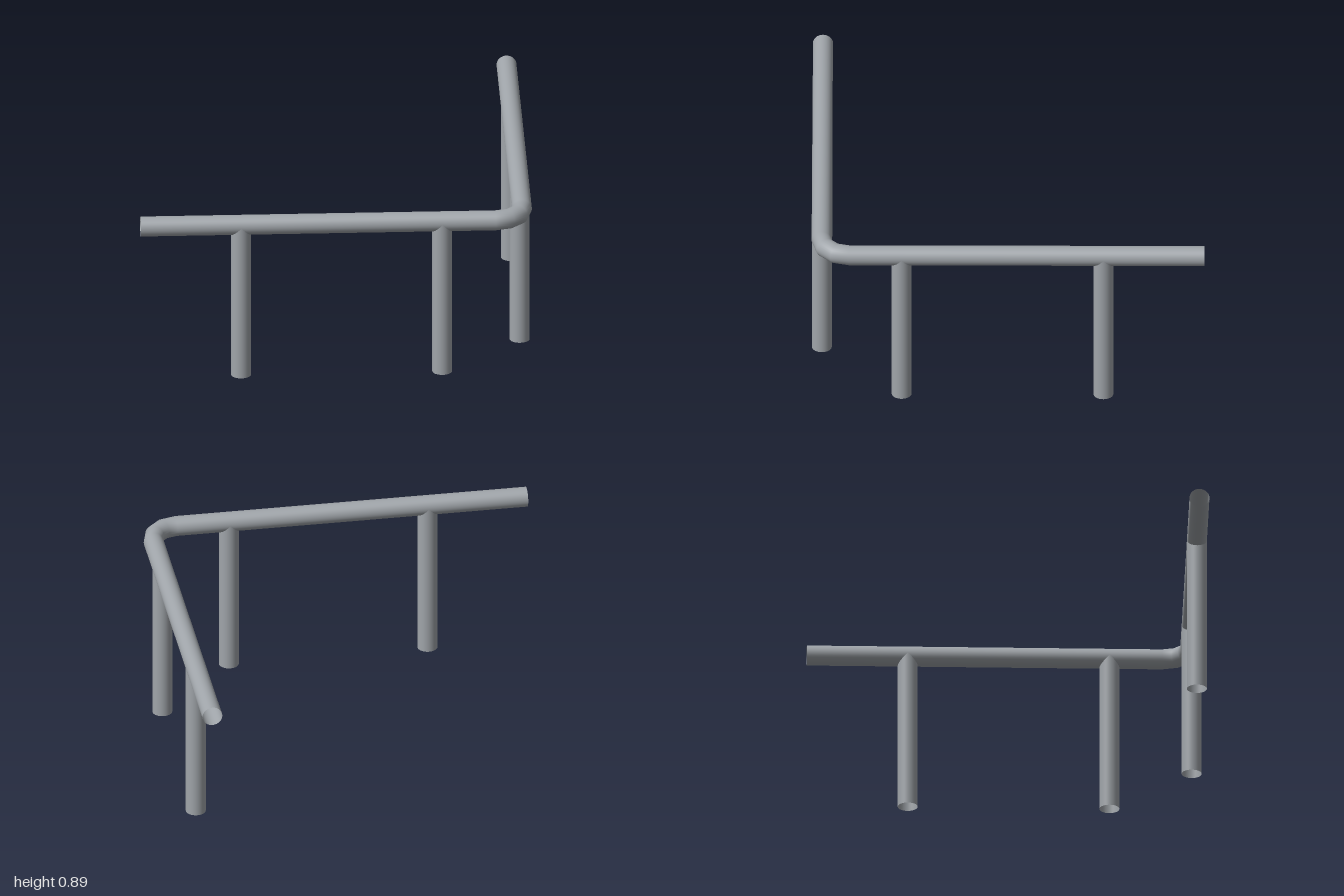
import * as THREE from 'three';

const RADIUS = 0.051;     // pipe radius
const SIDES = 32;
const RAIL_Y = 0.843;     // height of the rail's centre line
const OFFSET = 1 - RADIUS; // distance of both runs from the middle
const BEND = 0.14;        // bend radius of the centre line
const BEND_STEPS = 3;
const BEND_CENTRE = OFFSET - BEND;
const RUN = 1 + BEND_CENTRE; // length of each straight run

// Open pipe whose rings are laid along straight run, quarter bend, straight run
function railGeometry() {
  const segments = BEND_STEPS + 2;
  const geometry = new THREE.CylinderGeometry(RADIUS, RADIUS, segments, SIDES, segments, true);
  const position = geometry.attributes.position;
  const normal = geometry.attributes.normal;
  const centre = new THREE.Vector3(BEND_CENTRE, RAIL_Y, BEND_CENTRE);
  const up = new THREE.Vector3(0, 1, 0);
  const p = new THREE.Vector3();
  const n = new THREE.Vector3();

  for (let i = 0; i < position.count; i++) {
    const ring = Math.round(position.getY(i) + segments / 2);
    const step = THREE.MathUtils.clamp(ring - 1, 0, BEND_STEPS);
    const angle = (step / BEND_STEPS) * Math.PI / 2;
    const outward = new THREE.Vector3(Math.sin(angle), 0, Math.cos(angle));
    const along = new THREE.Vector3(Math.cos(angle), 0, -Math.sin(angle));
    const slide = ring === 0 ? -RUN : ring === segments ? RUN : 0;

    p.copy(centre)
      .addScaledVector(outward, BEND + position.getX(i))
      .addScaledVector(up, position.getZ(i))
      .addScaledVector(along, slide);
    n.set(0, 0, 0)
      .addScaledVector(outward, normal.getX(i))
      .addScaledVector(up, normal.getZ(i));
    position.setXYZ(i, p.x, p.y, p.z);
    normal.setXYZ(i, n.x, n.y, n.z);
  }
  return geometry;
}

export function createModel() {
  const group = new THREE.Group();
  group.name = 'cornerRailing';
  // Blue-grey steel, seen from inside at the open pipe ends
  const material = new THREE.MeshStandardMaterial({ color: 0xa0a5aa, side: THREE.DoubleSide });

  // Bent handrail
  const rail = new THREE.Mesh(railGeometry(), material);
  rail.name = 'handrail';
  group.add(rail);

  // Upright posts, ending inside the rail
  const addPost = (name, x, z, bottom) => {
    const height = RAIL_Y - bottom;
    const post = new THREE.Mesh(
      new THREE.CylinderGeometry(RADIUS, RADIUS, height, SIDES, 1, true), material);
    post.name = name;
    post.position.set(x, bottom + height / 2, z);
    group.add(post);
  };
  addPost('frontPostOuter', -0.488, OFFSET, 0.01);
  addPost('frontPostInner', 0.537, OFFSET, 0.01);
  addPost('sidePostInner', OFFSET, 0.541, 0);
  addPost('sidePostOuter', OFFSET, -0.486, 0);

  return group;
}
